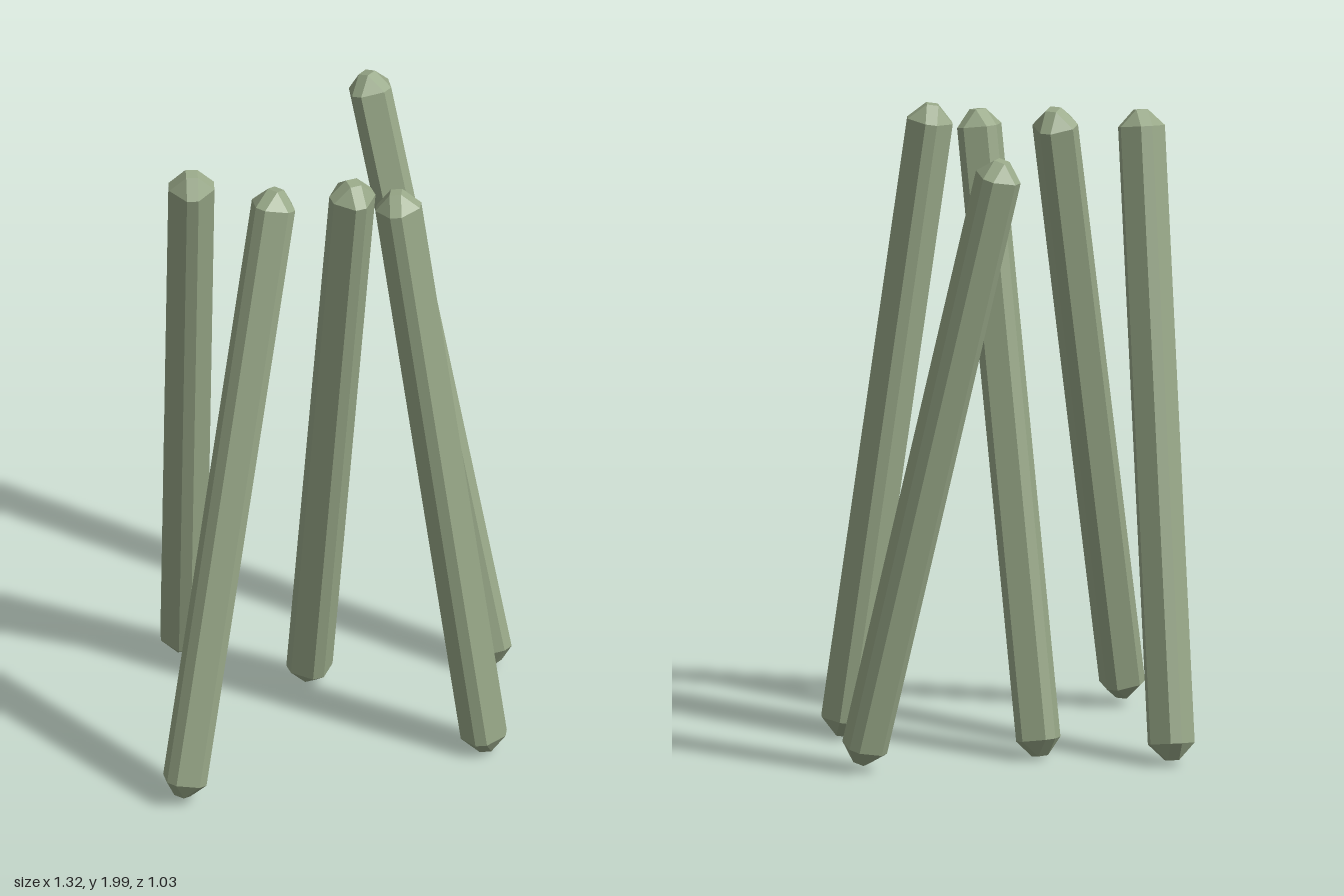
import * as THREE from 'three';
import { ConvexGeometry } from 'three/addons/geometries/ConvexGeometry.js';

const HALF_WIDTH = 0.07;
const HALF_LENGTH = 1.004;
const BEVEL = 0.052;

// Long square bar with one wide chamfer along every edge and at every corner
function beveledBar() {
  const w = HALF_WIDTH, h = HALF_LENGTH;
  const wi = w - BEVEL, hi = h - BEVEL;
  const points = [];
  for (const sx of [-1, 1]) for (const sy of [-1, 1]) for (const sz of [-1, 1]) {
    points.push(
      new THREE.Vector3(sx * w, sy * hi, sz * wi),
      new THREE.Vector3(sx * wi, sy * h, sz * wi),
      new THREE.Vector3(sx * wi, sy * hi, sz * w)
    );
  }
  return new ConvexGeometry(points);
}

export function createModel() {
  const group = new THREE.Group();
  group.name = 'leaningBars';
  const material = new THREE.MeshStandardMaterial({ color: 0x98a888, flatShading: true });
  const geometry = beveledBar();

  // Each bar: centre x, centre z, direction of lean and angle of lean in degrees
  const bars = [
    ['frontRightBar', -0.395, 0.238, 120, 14],
    ['backRightBar', -0.32, -0.255, -20, 12],
    ['middleBar', 0.04, 0.025, 0, 10],
    ['frontLeftBar', 0.255, 0.38, -120, 8],
    ['backLeftBar', 0.47, -0.195, -150, 14],
  ];
  for (const [name, x, z, yaw, tilt] of bars) {
    const bar = new THREE.Mesh(geometry, material);
    bar.name = name;
    bar.position.set(x, 1, z);
    bar.rotation.set(THREE.MathUtils.degToRad(tilt), THREE.MathUtils.degToRad(yaw), 0, 'YXZ');
    group.add(bar);
  }
  return group;
}
